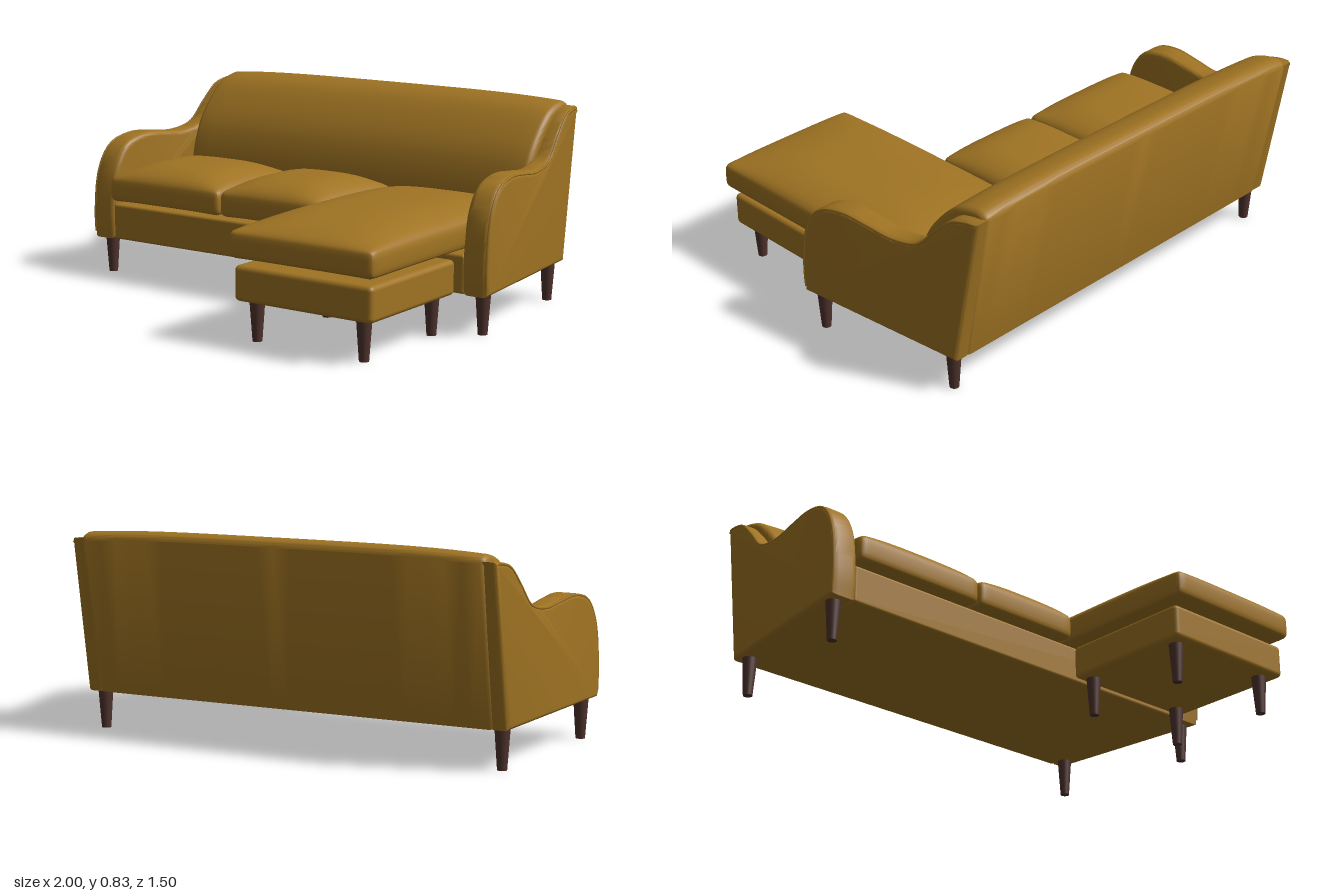
import * as THREE from 'three';
import { mergeVertices, toCreasedNormals } from 'three/addons/utils/BufferGeometryUtils.js';
import { RoundedBoxGeometry } from 'three/addons/geometries/RoundedBoxGeometry.js';

const lerp = THREE.MathUtils.lerp;

// Moves every vertex of a geometry by a rule
function reshape(geo, rule) {
  const p = geo.attributes.position, v = new THREE.Vector3();
  for (let i = 0; i < p.count; i++) {
    rule(v.fromBufferAttribute(p, i));
    p.setXYZ(i, v.x, v.y, v.z);
  }
  return geo;
}

// Plan taper of the arms: a runs from the inner face (0) to the outer face (1)
function armX(a, z) {
  const k = (0.13 - z) / 0.88;
  return lerp(0.885 - 0.05 * k, 1 - 0.095 * k, a);
}

// Side profile points are [z, y]; shapes use -z so that turning them keeps the winding
const vec = ([z, y]) => new THREE.Vector2(-z, y);
const armCurve = new THREE.SplineCurve([
  [0.125, 0.16], [0.13, 0.27], [0.115, 0.42], [0.075, 0.52], [0.01, 0.58], [-0.1, 0.605],
  [-0.22, 0.597], [-0.34, 0.587], [-0.46, 0.612], [-0.54, 0.69], [-0.62, 0.765], [-0.69, 0.79], [-0.75, 0.795],
].map(vec));

const BEVEL_T = 0.22, BEVEL = 0.02;

function armGeometry(side) {
  const shape = new THREE.Shape([...armCurve.getPoints(60), vec([-0.64, 0.16])]);
  const geo = new THREE.ExtrudeGeometry(shape, {
    depth: 1 - 2 * BEVEL_T, bevelThickness: BEVEL_T, bevelSize: BEVEL, bevelOffset: -BEVEL, bevelSegments: 5,
  });
  reshape(geo, v => {
    const t = v.z + BEVEL_T, z = -v.x;
    v.set(side * armX(side > 0 ? t : 1 - t, z), v.y, z);
  });
  return toCreasedNormals(geo, 0.6);
}

// Piping that follows the outer edge of an arm
function pipingGeometry(side) {
  const pts = [];
  for (let i = 1; i < 40; i++) {
    const p = armCurve.getPoint(i / 40), t = armCurve.getTangent(i / 40);
    const z = -(p.x + t.y * 0.007), y = p.y - t.x * 0.007;
    pts.push(new THREE.Vector3(side * armX(1 - 0.29 * BEVEL_T, z), y, z));
  }
  return new THREE.TubeGeometry(new THREE.CatmullRomCurve3(pts), 80, 0.006, 6);
}

// Curved backrest, swept across the width and lowered slightly towards its ends
function backGeometry() {
  const front = new THREE.SplineCurve([
    [-0.38, 0.3], [-0.383, 0.45], [-0.425, 0.6], [-0.495, 0.71], [-0.59, 0.8], [-0.69, 0.833], [-0.74, 0.825], [-0.753, 0.8],
  ].map(vec));
  const shape = new THREE.Shape([vec([-0.38, 0.17]), ...front.getPoints(40), vec([-0.643, 0.16])]);
  const half = 0.865, b = 0.025;
  const geo = new THREE.ExtrudeGeometry(shape, {
    depth: 2 * (half - b), steps: 24, bevelThickness: b, bevelSize: b, bevelOffset: -b, bevelSegments: 5,
  });
  reshape(geo, v => {
    const x = v.z - half + b, u = Math.min(1, Math.abs(x) / half);
    const top = THREE.MathUtils.smoothstep(v.y, 0.4, 0.8);
    v.set(x, v.y - 0.018 * u ** 4 * top, -v.x);
  });
  return toCreasedNormals(geo, 0.6);
}

// Padded cushion: rounded box with crowned top and belly
function cushionGeometry(x0, x1, z0, z1) {
  const w = (x1 - x0) / 2, d = (z1 - z0) / 2, h = 0.055, r = 0.03;
  const geo = new THREE.BoxGeometry(2, 2, 2, 24, 8, 24);
  geo.deleteAttribute('normal');
  geo.deleteAttribute('uv');
  const ease = a => Math.sin(a * Math.PI / 2);
  const core = new THREE.Vector3(), limit = new THREE.Vector3(w - r, h - r, d - r);
  reshape(geo, v => {
    v.set(ease(v.x) * w, ease(v.y) * h, ease(v.z) * d);
    core.copy(v).clamp(limit.clone().negate(), limit);
    v.sub(core);
    if (v.lengthSq() > 0) v.setLength(r);
    v.add(core);
    const crown = (1 - Math.abs(v.x / w) ** 3.5) * (1 - Math.abs(v.z / d) ** 3.5);
    v.y += crown * (v.y > 0 ? 0.062 : 0.022) * Math.min(1, Math.abs(v.y) / h);
    v.set(v.x + (x0 + x1) / 2, v.y + 0.385, v.z + (z0 + z1) / 2);
  });
  const smooth = mergeVertices(geo);
  smooth.computeVertexNormals();
  return smooth;
}

// Rounded box given by its limits
function slabGeometry(x0, x1, y0, y1, z0, z1, r) {
  return new RoundedBoxGeometry(x1 - x0, y1 - y0, z1 - z0, 3, r)
    .translate((x0 + x1) / 2, (y0 + y1) / 2, (z0 + z1) / 2);
}

export function createModel() {
  const model = new THREE.Group();
  model.name = 'chaiseSofa';
  const fabric = new THREE.MeshStandardMaterial({ color: 0xa07423 });
  fabric.name = 'mustardFabric';
  const wood = new THREE.MeshStandardMaterial({ color: 0x4f332d });
  wood.name = 'darkWood';

  const add = (name, geo, mat = fabric) => {
    const mesh = new THREE.Mesh(geo, mat);
    mesh.name = name;
    model.add(mesh);
    return mesh;
  };

  // Frame
  add('seatBase', slabGeometry(-0.89, 0.89, 0.16, 0.315, -0.635, 0.12, 0.012));
  add('backrest', backGeometry());
  for (const [side, label] of [[1, 'left'], [-1, 'right']]) {
    add(label + 'Arm', armGeometry(side));
    add(label + 'ArmPiping', pipingGeometry(side));
  }
  add('chaiseBase', slabGeometry(0.235, 0.865, 0.16, 0.3, 0.14, 0.72, 0.02));

  // Cushions
  add('rightSeatCushion', cushionGeometry(-0.89, -0.287, -0.4, 0.152));
  add('middleSeatCushion', cushionGeometry(-0.285, 0.225, -0.4, 0.152));
  add('chaiseCushion', cushionGeometry(0.227, 0.89, -0.4, 0.752));

  // Tapered legs at [x, z]
  const legGeo = new THREE.CylinderGeometry(0.031, 0.019, 0.17, 20).translate(0, 0.085, 0);
  const legs = [
    [-0.945, 0.065], [0.945, 0.065], [-0.87, -0.585], [0.87, -0.585],
    [0.3, 0.655], [0.79, 0.655], [0.3, 0.19], [0.79, 0.19],
  ];
  for (const [x, z] of legs) add('leg', legGeo, wood).position.set(x, 0, z);

  return model;
}
